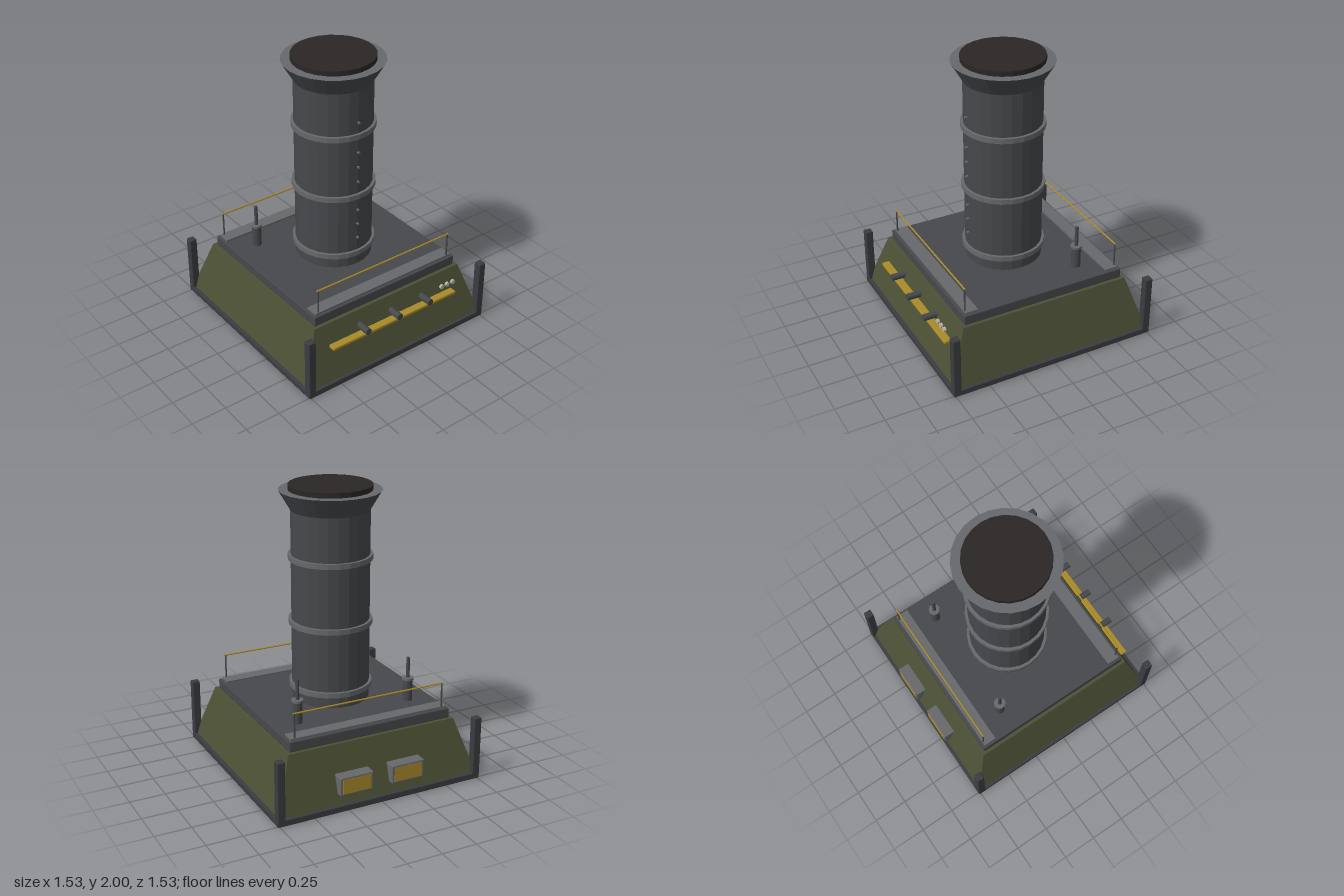
import * as THREE from 'three';
import { RoundedBoxGeometry } from 'three/addons/geometries/RoundedBoxGeometry.js';

const mat = (color) => new THREE.MeshStandardMaterial({ color, flatShading: true });

export function createModel() {
  const model = new THREE.Group();
  const olive = mat(0x4b5035), steel = mat(0x46484b), frame = mat(0x3b3c40);
  const light = mat(0x66686b), yellow = mat(0xa88a2a), black = mat(0x2a2725), lamp = mat(0xbdb5a5);

  const add = (name, geometry, material, x, y, z) => {
    const mesh = new THREE.Mesh(geometry, material);
    mesh.name = name;
    mesh.position.set(x, y, z);
    model.add(mesh);
    return mesh;
  };
  const box = (name, m, w, h, d, x, y, z) => add(name, new THREE.BoxGeometry(w, h, d), m, x, y, z);
  const softBox = (name, m, w, h, d, x, y, z) =>
    add(name, new RoundedBoxGeometry(w, h, d, 1, 0.006), m, x, y, z);
  // Upright cylinder between two heights
  const column = (name, m, rTop, rBottom, y0, y1, x = 0, z = 0, sides = 24) =>
    add(name, new THREE.CylinderGeometry(rTop, rBottom, y1 - y0, sides), m, x, (y0 + y1) / 2, z);
  // Cylinder lying along z
  const stub = (name, m, r, length, x, y, z, sides = 12) => {
    const mesh = add(name, new THREE.CylinderGeometry(r, r, length, sides), m, x, y, z);
    mesh.rotation.x = Math.PI / 2;
    return mesh;
  };

  // Base plate and corner posts
  softBox('basePlate', frame, 1.53, 0.045, 1.53, 0, 0.0225, 0);
  for (const sx of [-1, 1]) for (const sz of [-1, 1])
    softBox('cornerPost', frame, 0.055, 0.455, 0.055, sx * 0.7375, 0.2275, sz * 0.7375);

  // Sloped body: a four-sided frustum
  const bodyGeo = new THREE.CylinderGeometry(0.625 * Math.SQRT2, 0.745 * Math.SQRT2, 0.385, 4);
  bodyGeo.rotateY(Math.PI / 4);
  add('body', bodyGeo, olive, 0, 0.2325, 0);

  // Deck, walkways and handrails
  softBox('deck', steel, 1.206, 0.072, 1.206, 0, 0.46, 0);
  for (const s of [-1, 1]) {
    box('walkway', light, 1.17, 0.014, 0.092, 0, 0.502, s * 0.539);
    for (const sx of [-1, 1])
      column('railPost', steel, 0.006, 0.006, 0.5, 0.68, sx * 0.555, s * 0.577, 8);
    const rail = add('handrail', new THREE.CylinderGeometry(0.006, 0.006, 1.13, 8), yellow, 0, 0.68, s * 0.577);
    rail.rotation.z = Math.PI / 2;
  }

  // Main stack with flared mouth, bands and a rivet line
  column('stack', steel, 0.27, 0.27, 0.49, 1.83);
  column('flare', light, 0.35, 0.27, 1.83, 1.965).material = [steel, light, steel];
  column('stackCap', black, 0.286, 0.286, 1.96, 2);
  for (const y of [0.595, 1.05, 1.507])
    column('stackBand', light, 0.29, 0.29, y - 0.018, y + 0.018);
  for (let i = 0; i < 9; i++)
    stub('rivet', light, 0.009, 0.03, 0, 0.715 + i * 0.111, 0.27, 8);

  // Pair of small exhausts at the rear
  for (const sx of [-1, 1]) {
    const x = sx * 0.423, z = -0.347;
    column('exhaustBody', steel, 0.033, 0.033, 0.49, 0.65, x, z, 12);
    column('exhaustCollar', light, 0.04, 0.04, 0.648, 0.664, x, z, 16);
    column('exhaustPipe', steel, 0.013, 0.013, 0.66, 0.81, x, z, 10);
  }

  // Front bar, stubs and signal lamps
  softBox('frontBar', yellow, 1.07, 0.024, 0.07, 0, 0.274, 0.686);
  for (const x of [-0.27, 0, 0.27]) stub('frontStub', steel, 0.024, 0.13, x, 0.323, 0.69);
  for (const x of [0.41, 0.46, 0.51]) stub('signalLamp', lamp, 0.017, 0.017, x, 0.37, 0.708, 10);

  // Rear hatches with inset coloured faces
  for (const sx of [-1, 1]) {
    softBox('rearHatch', light, 0.246, 0.13, 0.11, sx * 0.193, 0.178, -0.708);
    box('hatchFace', yellow, 0.21, 0.104, 0.01, sx * 0.193, 0.178, -0.76);
  }

  return model;
}
